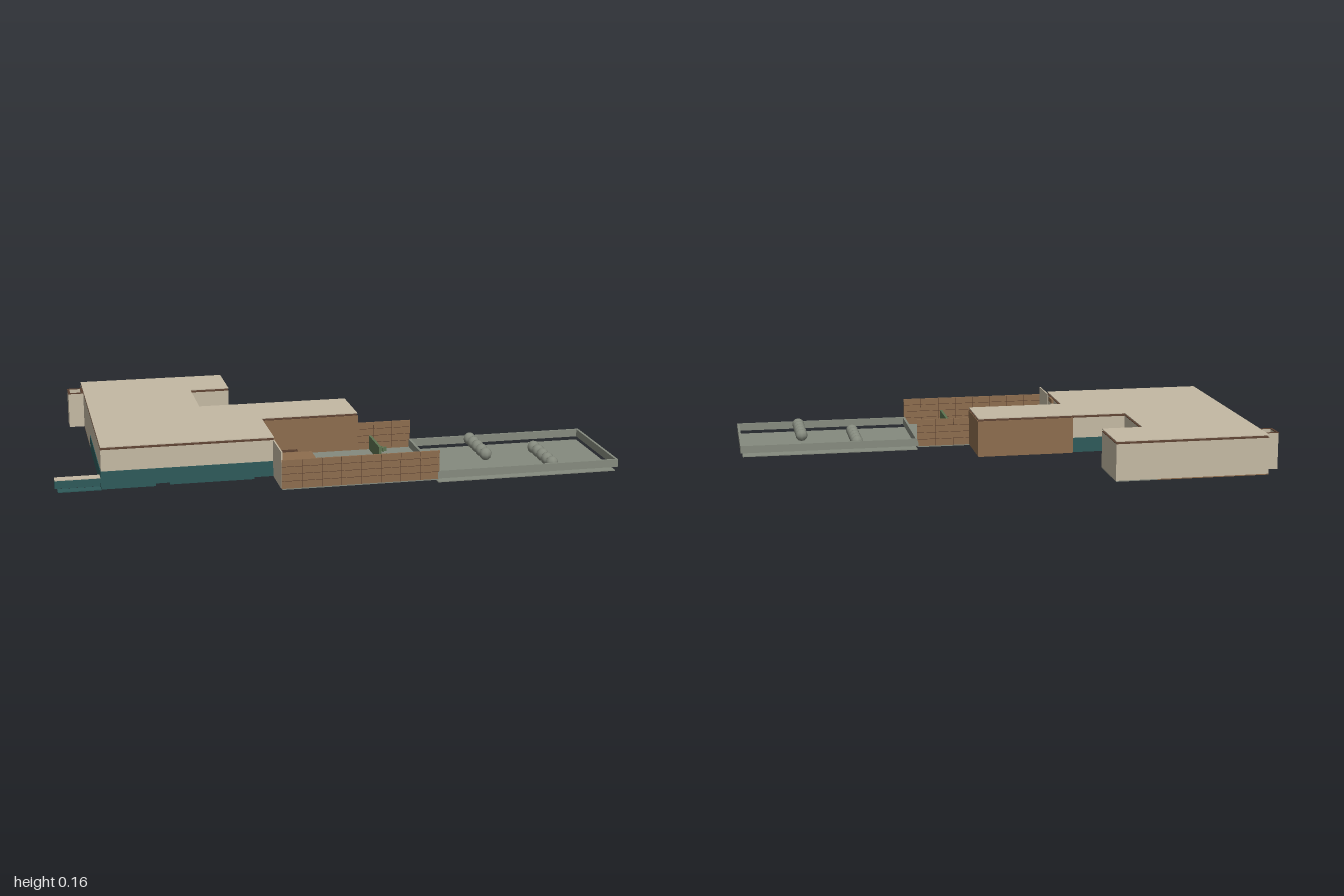
import * as THREE from 'three';

const paint = (name, color) => {
  const m = new THREE.MeshStandardMaterial({ color });
  m.name = name;
  return m;
};

export function createModel() {
  const model = new THREE.Group();
  model.name = 'courtyardHouse';
  const beige = paint('beige plaster', 0xc4b9a3);
  const brown = paint('brown wood', 0x8d6d4e);
  const dark = paint('dark wood', 0x5a4030);
  const teal = paint('teal glazing', 0x2e5a5a);
  const grey = paint('grey stone', 0x858a7e);
  const green = paint('hedge green', 0x5c7350);

  const add = (name, geo, mat) => {
    const mesh = new THREE.Mesh(geo, mat);
    mesh.name = name;
    model.add(mesh);
    return mesh;
  };
  // Box given by its limits on each axis
  const box = (name, mat, x0, x1, y0, y1, z0, z1) => {
    const g = new THREE.BoxGeometry(x1 - x0, y1 - y0, z1 - z0);
    g.translate((x0 + x1) / 2, (y0 + y1) / 2, (z0 + z1) / 2);
    return add(name, g, mat);
  };
  // Flat slab from a floor plan of [x, z] corners
  const slab = (name, mat, plan, y0, y1) => {
    const shape = new THREE.Shape(plan.map(([x, z]) => new THREE.Vector2(x, -z)));
    const g = new THREE.ExtrudeGeometry(shape, { depth: y1 - y0, bevelEnabled: false });
    g.rotateX(-Math.PI / 2).translate(0, y0, 0);
    return add(name, g, mat);
  };

  // House body, ceiling and roof share one plan
  const plan = [
    [-0.84, 0.38], [-0.23, 0.38], [-0.23, 0.13], [0.13, 0.13], [0.13, -0.08],
    [-0.43, -0.08], [-0.43, -0.33], [-0.28, -0.33], [-0.28, -0.54], [-0.84, -0.54],
  ];
  slab('houseWalls', beige, plan, 0.015, 0.147);
  slab('ceiling', dark, plan, 0.147, 0.149);
  slab('roof', beige, plan, 0.155, 0.158);

  // Wooden floors below the rear and right wings
  box('rightWingFloor', brown, -0.23, 0.13, 0.012, 0.0155, -0.08, 0.13);
  box('rearWingFloor', brown, -0.84, -0.43, 0.012, 0.0155, -0.54, -0.08);
  box('rearTerraceFloor', grey, -0.43, -0.28, 0.012, 0.0155, -0.54, -0.33);

  // Wood cladding on the right wing
  box('wingCladdingEnd', brown, 0.128, 0.132, 0.015, 0.1475, -0.08, 0.13);
  box('wingCladdingFront', brown, -0.23, 0.132, 0.015, 0.1475, 0.128, 0.132);
  box('wingCladdingBack', brown, -0.23, 0.132, 0.015, 0.1475, -0.082, -0.078);

  // Low glazing bands
  box('frontGlazing', teal, -0.842, -0.23, 0.015, 0.07, 0.378, 0.382);
  box('leftGlazing', teal, -0.842, -0.838, 0.015, 0.07, -0.08, 0.38);
  box('courtGlazing', teal, -0.232, -0.227, 0.015, 0.07, 0.13, 0.38);
  box('rearGlazing', teal, -0.43, -0.23, 0.015, 0.07, -0.082, -0.078);

  // Pillar beside the courtyard
  box('pillar', beige, -0.23, -0.222, 0.015, 0.133, 0.26, 0.32);
  box('pillarCap', brown, -0.23, -0.222, 0.133, 0.148, 0.26, 0.32);

  // Chimney: open shaft with a dark rim
  box('chimneyOuter', beige, -0.897, -0.89, 0.015, 0.148, -0.475, -0.4);
  box('chimneyInner', beige, -0.848, -0.84, 0.015, 0.148, -0.475, -0.4);
  for (const z of [-0.475, -0.407]) box('chimneySide', beige, -0.897, -0.84, 0.015, 0.148, z, z + 0.007);
  box('chimneyShaft', grey, -0.89, -0.848, 0.015, 0.125, -0.468, -0.407);
  for (const z of [-0.475, -0.407]) box('chimneyRim', dark, -0.898, -0.84, 0.147, 0.15, z, z + 0.007);
  for (const x of [-0.898, -0.848]) box('chimneyRim', dark, x, x + 0.008, 0.147, 0.15, -0.475, -0.4);

  // Low wall by the entrance, with steps
  box('entryWall', teal, -1, -0.84, 0.015, 0.043, 0.337, 0.373);
  box('entryWallCap', beige, -1, -0.84, 0.043, 0.046, 0.337, 0.373);
  box('entryPath', teal, -0.99, -0.84, 0, 0.003, 0.337, 0.373);
  box('entryStep', teal, -0.84, -0.65, 0.004, 0.014, 0.34, 0.378);
  box('lowerSlab', teal, -0.6, -0.3, 0.004, 0.015, 0.2, 0.37);

  // Courtyard and outer garden floors
  box('courtyardFloor', grey, -0.23, 0.33, 0.01, 0.015, 0.13, 0.53);
  box('gardenFloor', grey, 0.33, 0.992, 0, 0.003, 0.13, 0.53);
  box('deck', brown, -0.22, -0.045, 0.015, 0.022, 0.135, 0.24);
  for (const z of [0.139, 0.15]) box('benchSlat', dark, -0.21, -0.1, 0.03, 0.034, z, z + 0.006);
  box('basinEdge', brown, -0.113, 0.083, 0.015, 0.017, 0.358, 0.512);
  box('basin', grey, -0.11, 0.08, 0.015, 0.019, 0.361, 0.509);

  // Courtyard fences with panel joints
  box('frontFence', brown, -0.232, 0.332, 0.015, 0.118, 0.527, 0.534);
  box('backFence', brown, 0.13, 0.332, 0.015, 0.118, 0.125, 0.132);
  box('courtyardSideWall', beige, -0.234, -0.229, 0.015, 0.148, 0.38, 0.53);
  for (const y of [0.041, 0.067, 0.093]) {
    box('frontFenceRail', dark, -0.232, 0.332, y, y + 0.0015, 0.5265, 0.5345);
    box('backFenceRail', dark, 0.132, 0.332, y, y + 0.0015, 0.1245, 0.1325);
  }
  for (let i = 1; i < 8; i++) {
    const x = -0.232 + i * 0.0705;
    box('frontFenceJoint', dark, x, x + 0.0015, 0.015, 0.118, 0.5265, 0.5345);
    if (x > 0.15) box('backFenceJoint', dark, x, x + 0.0015, 0.015, 0.118, 0.1245, 0.1325);
  }

  // Garden kerbs
  for (const z of [0.125, 0.525]) box('sideKerb', grey, 0.33, 1, 0.016, 0.044, z, z + 0.009);
  for (const x of [0.328, 0.991]) box('endKerb', grey, x, x + 0.009, 0.016, 0.044, 0.125, 0.534);

  // Hedges with a gateway and two small plants
  for (const [a, b] of [[0.132, 0.285], [0.365, 0.527]]) box('hedge', green, 0.175, 0.184, 0.015, 0.068, a, b);
  for (const z of [0.165, 0.49]) {
    box('plant', green, 0.204, 0.234, 0.015, 0.03, z - 0.003, z + 0.003);
    box('plant', green, 0.216, 0.222, 0.015, 0.03, z - 0.015, z + 0.015);
  }

  // Two rows of round garden stones
  for (const [x, z0] of [[0.56, 0.15], [0.76, 0.303]]) {
    for (let i = 0; i < 5; i++) {
      const stone = add('gardenStone', new THREE.SphereGeometry(0.0235, 8, 6), grey);
      stone.position.set(x, 0.038, z0 + i * 0.05);
    }
  }
  return model;
}
